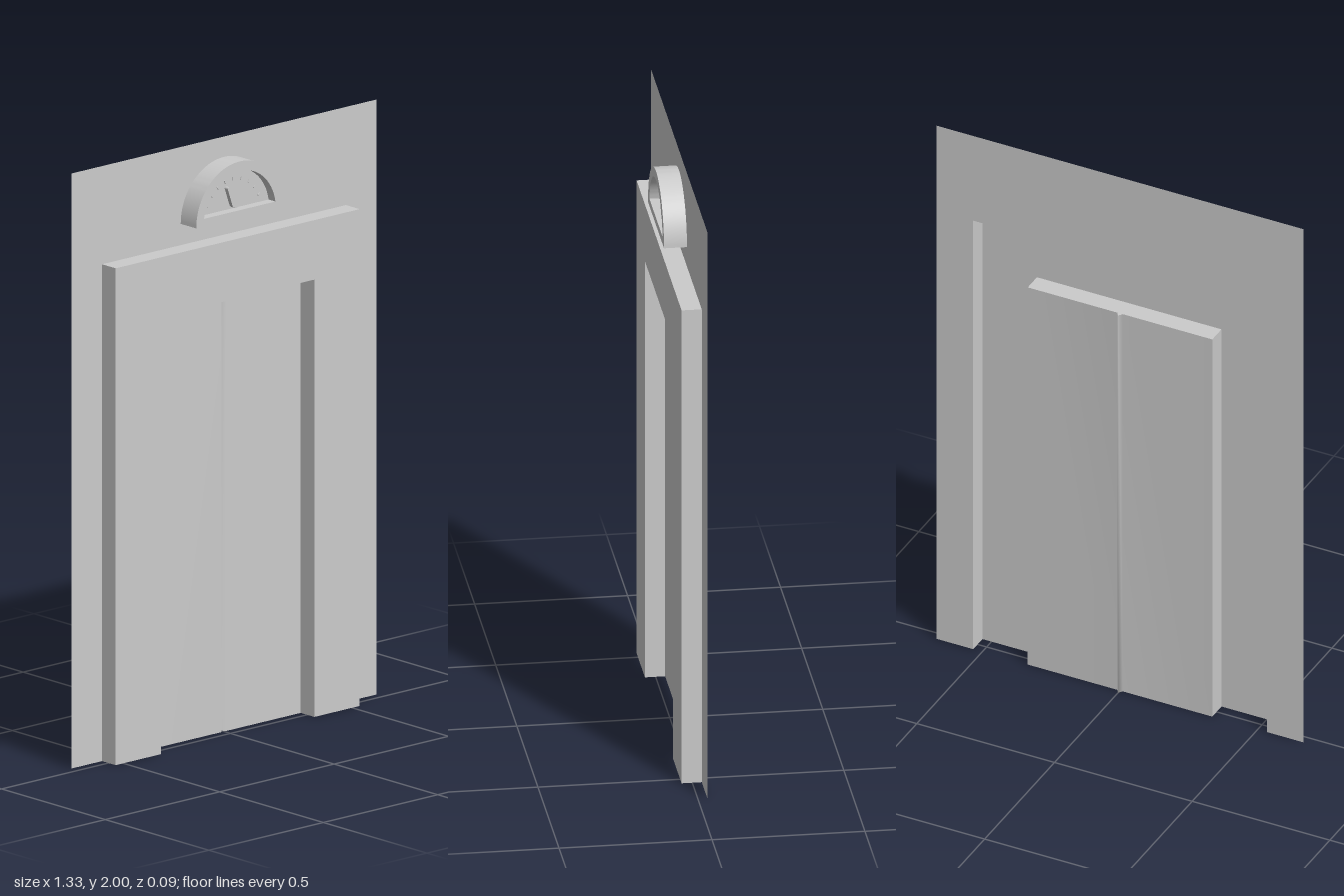
import * as THREE from 'three';
import { toCreasedNormals } from 'three/addons/utils/BufferGeometryUtils.js';

const BACK = -0.031, FRONT = 0.035;
const OUTER = [0.533, 1.67], OPENING = [0.335, 1.47];
const material = new THREE.MeshStandardMaterial({ color: 0xcccccc, side: THREE.DoubleSide });

function add(parent, name, geometry, z = 0) {
  const mesh = new THREE.Mesh(geometry, material);
  mesh.name = name;
  mesh.position.z = z;
  parent.add(mesh);
  return mesh;
}

// Strip of quads between two rows of points
function ribbon(a, b, smooth = false) {
  const index = [];
  for (let i = 0; i < a.length - 1; i++) {
    const n = a.length + i;
    index.push(i, i + 1, n + 1, i, n + 1, n);
  }
  let geometry = new THREE.BufferGeometry().setFromPoints([...a, ...b]);
  geometry.setIndex(index);
  if (!smooth) geometry = geometry.toNonIndexed();
  geometry.computeVertexNormals();
  return geometry;
}

// Doorway outline: up, across and down
const outline = ([w, h], z) => [[-w, 0], [-w, h], [w, h], [w, 0]].map(([x, y]) => new THREE.Vector3(x, y, z));

// Flat panel with a doorway cut up from its bottom edge
function portal(outer, inner) {
  const points = [...outline(outer, 0), ...outline(inner, 0).reverse()];
  return new THREE.ShapeGeometry(new THREE.Shape(points.map(p => new THREE.Vector2(p.x, p.y))));
}

// Half disc of radius r about the origin, cut off below y = base
function halfDisc(r, base, PathType = THREE.Shape) {
  const start = Math.asin(base / r);
  const path = new PathType();
  path.absarc(0, 0, r, start, Math.PI - start, false);
  path.closePath();
  return path;
}

function extrude(shape, depth, segments = 32) {
  const geometry = new THREE.ExtrudeGeometry(shape, { depth, bevelEnabled: false, curveSegments: segments });
  return toCreasedNormals(geometry, 0.6);
}

export function createModel() {
  const model = new THREE.Group();
  model.name = 'elevatorEntrance';

  // Thin wall and the raised, hollow-backed door surround
  add(model, 'wall', portal([0.667, 2], OUTER), BACK);
  const frame = new THREE.Group();
  frame.name = 'doorFrame';
  model.add(frame);
  add(frame, 'frameFace', portal(OUTER, OPENING), FRONT);
  add(frame, 'frameOuterSides', ribbon(outline(OUTER, FRONT), outline(OUTER, BACK)));
  add(frame, 'frameReveal', ribbon(outline(OPENING, BACK), outline(OPENING, FRONT)));

  // Sliding doors meeting in a V groove
  const [w, h] = OPENING;
  const section = [[-w, BACK], [-0.01, BACK], [0, -0.045], [0.01, BACK], [w, BACK]];
  const row = y => section.map(([x, z]) => new THREE.Vector3(x, y, z));
  add(model, 'doors', ribbon(row(0), row(h), true));
  const cap = new THREE.BufferGeometry().setFromPoints(row(h).slice(1, 4));
  cap.computeVertexNormals();
  add(model, 'grooveCap', cap);

  // Half-round floor indicator
  const dial = new THREE.Group();
  dial.name = 'floorIndicator';
  dial.position.y = 1.742;
  model.add(dial);
  const rim = halfDisc(0.19, 0);
  rim.holes.push(halfDisc(0.158, 0.026, THREE.Path));
  add(dial, 'dialRim', extrude(rim, 0.075), -0.03);
  add(dial, 'dialFace', new THREE.ShapeGeometry(halfDisc(0.16, 0.024), 32), 0.012);

  // Ticks around the dial
  for (let i = 0; i < 9; i++) {
    const angle = Math.PI * (0.14 + 0.09 * i);
    const tick = add(dial, 'tick', new THREE.BoxGeometry(0.012, 0.004, 0.004), 0.013);
    tick.position.x = 0.125 * Math.cos(angle);
    tick.position.y = 0.125 * Math.sin(angle);
    tick.rotation.z = angle;
  }

  // Tapered hand, rounded at the pivot and at the tip
  const pointer = new THREE.Shape();
  pointer.absarc(0, 0, 0.017, Math.PI, Math.PI * 2, false);
  pointer.absarc(0, 0.06, 0.006, 0, Math.PI, false);
  pointer.closePath();
  const hand = add(dial, 'hand', extrude(pointer, 0.015, 10), 0.012);
  hand.position.y = 0.047;
  hand.rotation.z = 0.52;

  return model;
}
